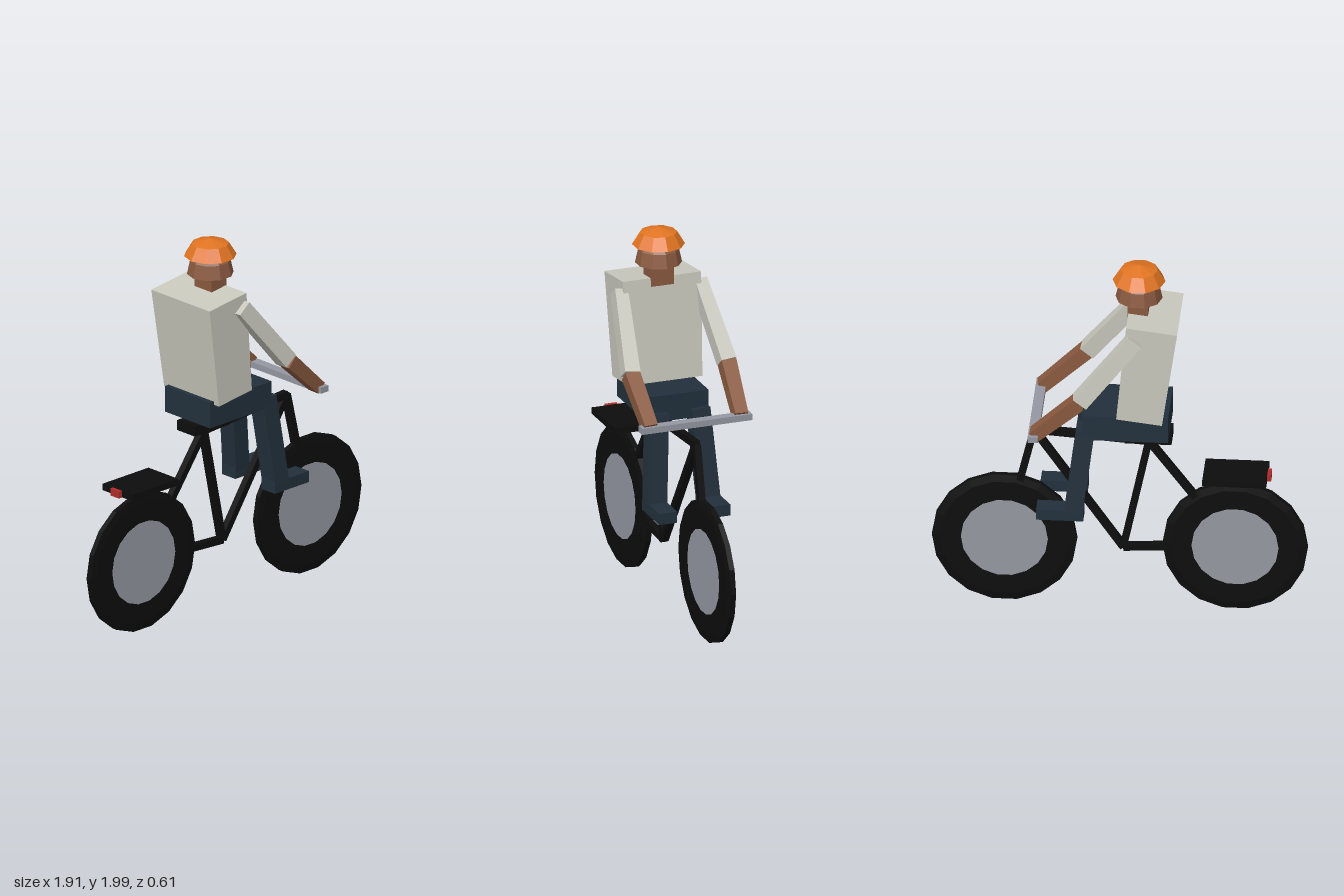
import * as THREE from 'three';

const mat = (name, color) => {
  const m = new THREE.MeshStandardMaterial({ color, flatShading: true });
  m.name = name;
  return m;
};

export function createModel() {
  const model = new THREE.Group();
  model.name = 'cyclist';

  const black = mat('black', 0x0d0d0d);
  const grey = mat('metal grey', 0x9598a2);
  const navy = mat('trouser navy', 0x22303c);
  const shirt = mat('shirt off-white', 0xc9c9be);
  const skin = mat('skin brown', 0x8a5a40);
  const orange = mat('helmet orange', 0xe07422);
  const red = mat('lamp red', 0xb02c2c);
  const skinOpen = mat('head brown', 0x8a5a40);
  const orangeOpen = mat('helmet shell orange', 0xe07422);
  skinOpen.side = orangeOpen.side = THREE.DoubleSide;

  const add = (name, geometry, material, x = 0, y = 0, z = 0) => {
    const mesh = new THREE.Mesh(geometry, material);
    mesh.name = name;
    mesh.position.set(x, y, z);
    model.add(mesh);
    return mesh;
  };

  // Box given by its limits in x and y, and its half width in z
  const block = (name, material, x0, x1, y0, y1, halfZ, z = 0) =>
    add(name, new THREE.BoxGeometry(x1 - x0, y1 - y0, halfZ * 2), material, (x0 + x1) / 2, (y0 + y1) / 2, z);

  // Square-section bar from a to b; [w, d] are its sizes in the side plane and across, at each end
  const bar = (name, material, a, b, [w0, d0], [w1, d1] = [w0, d0]) => {
    const start = new THREE.Vector3(...a), end = new THREE.Vector3(...b);
    const dir = end.clone().sub(start);
    const geometry = new THREE.BoxGeometry(1, dir.length(), 1);
    const p = geometry.attributes.position;
    for (let i = 0; i < p.count; i++) {
      const atEnd = p.getY(i) > 0;
      p.setX(i, p.getX(i) * (atEnd ? w1 : w0));
      p.setZ(i, p.getZ(i) * (atEnd ? d1 : d0));
    }
    geometry.computeVertexNormals();
    dir.normalize();
    const side = dir.clone().cross(new THREE.Vector3(0, 0, 1)).normalize();
    const across = side.clone().cross(dir);
    const mesh = add(name, geometry, material);
    mesh.quaternion.setFromRotationMatrix(new THREE.Matrix4().makeBasis(side, dir, across));
    mesh.position.copy(start).add(end).multiplyScalar(0.5);
  };

  // Wheels: bevelled tyre and solid disc
  const tyreProfile = [[0.21, -0.021], [0.33, -0.021], [0.37, -0.014], [0.37, 0.014], [0.33, 0.021], [0.21, 0.021]]
    .map(([r, y]) => new THREE.Vector2(r, y));
  const tyre = new THREE.LatheGeometry(tyreProfile, 18, Math.PI / 2).rotateX(Math.PI / 2);
  const disc = new THREE.CylinderGeometry(0.222, 0.222, 0.045, 18, 1, false, Math.PI / 2).rotateX(Math.PI / 2);
  for (const [name, x] of [['rear', -0.59], ['front', 0.585]]) {
    add(name + 'Tyre', tyre, black, x, 0.37);
    add(name + 'WheelDisc', disc, grey, x, 0.37);
  }

  // Frame
  const seatJoint = [-0.15, 0.965, 0], headJoint = [0.435, 1.005, 0], crank = [-0.02, 0.335, 0];
  const rearAxle = [-0.59, 0.37, 0], frontAxle = [0.585, 0.37, 0];
  const tubes = {
    topTube: [seatJoint, headJoint], seatTube: [seatJoint, crank], downTube: [crank, headJoint],
    seatStay: [seatJoint, rearAxle], chainStay: [crank, rearAxle], fork: [headJoint, frontAxle],
  };
  for (const [name, [a, b]] of Object.entries(tubes)) bar(name, black, a, b, [0.036, 0.036]);

  // Fittings
  block('saddle', black, -0.27, -0.03, 0.98, 1.035, 0.065);
  block('rack', black, -0.755, -0.43, 0.772, 0.806, 0.11);
  block('tailLamp', red, -0.775, -0.755, 0.77, 0.808, 0.032);
  block('handlebar', grey, 0.393, 0.445, 1.1, 1.133, 0.3);

  // Rider's body
  block('hips', navy, -0.26, 0.175, 1.05, 1.19, 0.165);
  bar('torso', shirt, [-0.115, 1.185, 0], [-0.18, 1.73, 0], [0.235, 0.4], [0.262, 0.426]);
  block('neck', skin, -0.15, -0.045, 1.7, 1.8, 0.062);

  // Mirrored limbs
  for (const [side, s] of [['left', 1], ['right', -1]]) {
    // The model's left is +x, but the rider looks along +x, so rider's right is +z
    const who = s > 0 ? 'near' : 'far';
    bar(who + 'Leg', navy, [0.163, 1.1, s * 0.113], [0.222, 0.63, s * 0.145], [0.095, 0.1]);
    block(who + 'Foot', navy, 0.17, 0.41, 0.585, 0.645, 0.049, s * 0.145);
    bar(who + 'UpperArm', shirt, [-0.095, 1.68, s * 0.216], [0.183, 1.333, s * 0.262], [0.085, 0.068], [0.085, 0.082]);
    bar(who + 'Forearm', skin, [0.188, 1.33, s * 0.262], [0.415, 1.12, s * 0.246], [0.075, 0.08], [0.065, 0.07]);
  }

  // Head and helmet: open low-poly domes
  const dome = (r, h, rings) =>
    new THREE.SphereGeometry(r, 10, rings, 0, Math.PI * 2, 0, Math.PI / 2).scale(1, h / r, 1);
  add('head', dome(0.12, 0.145, 3), skinOpen, -0.1, 1.81);
  add('helmet', dome(0.135, 0.092, 2), orangeOpen, -0.1, 1.908);

  return model;
}
